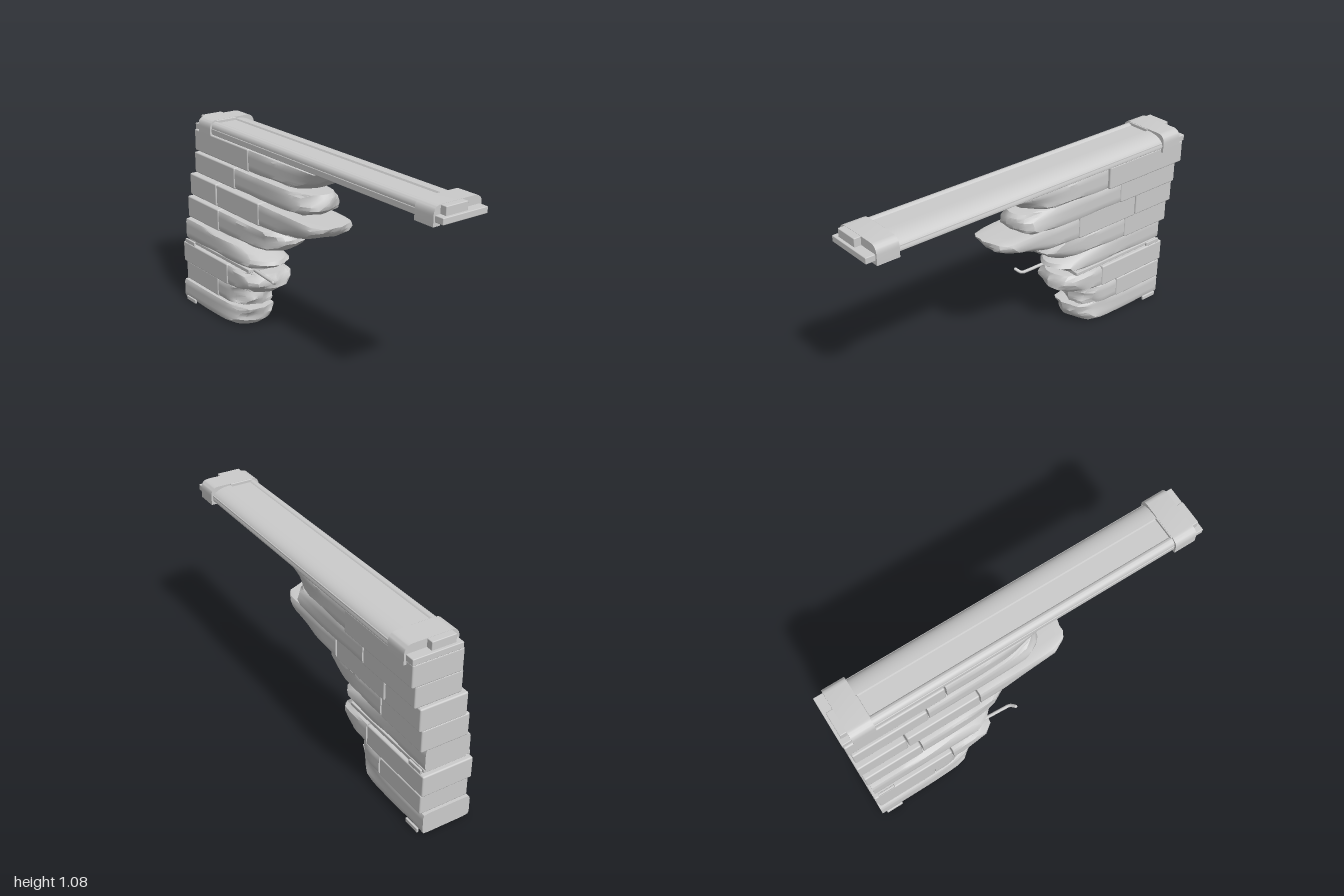
import * as THREE from 'three';
import { toCreasedNormals } from 'three/addons/utils/BufferGeometryUtils.js';
import { RoundedBoxGeometry } from 'three/addons/geometries/RoundedBoxGeometry.js';

const material = new THREE.MeshStandardMaterial({ color: 0xcccccc });

function add(parent, name, geometry) {
  const mesh = new THREE.Mesh(geometry, material);
  mesh.name = name;
  parent.add(mesh);
  return mesh;
}

// Box given by its limits, with slightly softened edges
function block(parent, name, x0, x1, y0, y1, z0, z1, radius = 0.008) {
  const g = new RoundedBoxGeometry(x1 - x0, y1 - y0, z1 - z0, 2, radius);
  g.translate((x0 + x1) / 2, (y0 + y1) / 2, (z0 + z1) / 2);
  return add(parent, name, g);
}

// Piecewise linear lookup, t from 0 to 1
function sample(list, t) {
  const f = Math.min(Math.max(t, 0), 1) * (list.length - 1);
  const i = Math.min(Math.floor(f), list.length - 2);
  return list[i] + (list[i + 1] - list[i]) * (f - i);
}

// Stone with a broken +x end; ends lists the end's x from bottom to top
function brokenStone(parent, x0, ends, y0, y1, z0, z1, seed) {
  const g = new THREE.BoxGeometry(1, 1, 1, 18, 6, 8);
  const p = g.attributes.position;
  const cy = (y0 + y1) / 2, cz = (z0 + z1) / 2;
  for (let i = 0; i < p.count; i++) {
    const u = p.getX(i) + 0.5, v = p.getY(i) * 2, w = p.getZ(i) * 2;
    // fractured end: rounded towards the faces, with facet-like ridges
    const ridge = Math.abs(Math.sin(w * 2.1 + v * 1.3 + seed)) * 0.035
      + Math.abs(Math.sin(w * 1.2 - v * 2.4 + seed * 2)) * 0.02;
    const end = sample(ends, (v + 1) / 2) - ridge * Math.abs(w) - 0.05 * Math.pow(Math.abs(w), 5);
    const x = x0 + u * (end - x0);
    // wear grows towards the break
    const wear = Math.pow(u, 5);
    const chip = Math.max(0, Math.sin(x * 13 + seed * 1.7)) * 0.1 * u;
    let sy = 1 - wear * 0.07 * Math.abs(w);
    let sz = 1 - wear * (0.12 + 0.1 * Math.sin(v * 2 + seed));
    // softened long edges with chipped stretches
    if (Math.abs(v) > 0.99 && Math.abs(w) > 0.99) { sy -= 0.07 + chip; sz -= 0.04 + chip * 0.6; }
    p.setXYZ(i, x, cy + v * (y1 - y0) / 2 * sy, cz + w * (z1 - z0) / 2 * sz);
  }
  g.computeVertexNormals();
  return add(parent, 'brokenStone', toCreasedNormals(g, 0.55));
}

// Extrusion along x of a profile drawn in the (-z, y) plane
function extrudeX(parent, name, shape, x0, x1) {
  const g = new THREE.ExtrudeGeometry(shape, { depth: x1 - x0, bevelEnabled: false, curveSegments: 10 });
  g.rotateY(Math.PI / 2);
  g.translate(x0, 0, 0);
  return add(parent, name, toCreasedNormals(g, 0.6));
}

export function createModel() {
  const model = new THREE.Group();
  model.name = 'ruinedWall';

  // Courses: height range, depth range, whole-stone joints, broken end
  const courses = [
    { y: [0.005, 0.122], z: [-0.075, 0.197], x: [-0.995], ends: [-0.45, -0.395, -0.385, -0.375] },
    { y: [0.125, 0.235], z: [-0.09, 0.185], x: [-0.985, -0.645], ends: [-0.42, -0.41, -0.41, -0.42] },
    { y: [0.235, 0.355], z: [-0.09, 0.195], x: [-0.995, -0.53], ends: [-0.32, -0.265, -0.26, -0.28] },
    { y: [0.372, 0.495], z: [-0.072, 0.18], x: [-0.98], ends: [-0.34, -0.235, -0.25, -0.34, -0.52] },
    { y: [0.498, 0.622], z: [-0.107, 0.157], x: [-0.99, -0.665], ends: [-0.22, -0.16, -0.13, -0.135, -0.17] },
    { y: [0.625, 0.75], z: [-0.128, 0.132], x: [-0.997, -0.72, -0.31], ends: [0, 0.08, 0.17, 0.21, 0.22] },
    { y: [0.754, 0.873], z: [-0.153, 0.103], x: [-0.985, -0.575], ends: [0.02, 0.08, 0.09, 0.09, 0.07] },
    { y: [0.878, 1.0], z: [-0.172, 0.09], x: [-0.997, -0.46], ends: [-0.03, 0.05, 0.1, 0.15, 0.185] },
  ];
  const wall = new THREE.Group();
  wall.name = 'stoneCourses';
  model.add(wall);
  courses.forEach(({ y, z, x, ends }, n) => {
    for (let i = 0; i < x.length - 1; i++) {
      block(wall, 'wholeStone', x[i], x[i + 1] - 0.006, y[0], y[1], z[0] - (n === 7 ? 0.01 : 0), z[1]);
    }
    brokenStone(wall, x[x.length - 1], ends, y[0], y[1], z[0], z[1], n * 1.9 + 0.6);
  });

  // Thin bed between courses and the bent rod sticking out of it
  block(model, 'mortarBed', -0.97, -0.36, 0.353, 0.374, -0.07, 0.17, 0.004);
  const rod = new THREE.CatmullRomCurve3([
    [-0.45, 0.362, 0.12], [-0.3, 0.363, 0.135], [-0.2, 0.36, 0.14], [-0.155, 0.362, 0.145], [-0.135, 0.378, 0.17],
  ].map((q) => new THREE.Vector3(...q)));
  add(model, 'bentRod', new THREE.TubeGeometry(rod, 20, 0.009, 8));
  const tip = add(model, 'rodTip', new THREE.SphereGeometry(0.009, 8, 6));
  tip.position.set(-0.135, 0.378, 0.17);

  // Small staples on both faces
  for (const [y, back, front] of [[0.0, -0.083, 0.198], [0.355, -0.083, 0.19]]) {
    for (const z of [back, front]) {
      block(model, 'staple', -0.97, -0.875, y, y + 0.024, z - 0.006, z + 0.006, 0.004);
    }
  }

  // Coping: flat slab, domed cover and raised end plates
  const coping = new THREE.Group();
  coping.name = 'coping';
  model.add(coping);
  block(coping, 'copingSlab', -1, 1, 1.0, 1.033, -0.187, 0.08, 0.004);

  const cover = new THREE.Shape();
  cover.moveTo(-0.075, 1.012);
  cover.lineTo(0.19, 1.012);
  cover.bezierCurveTo(0.188, 1.045, 0.15, 1.068, 0.08, 1.068);
  cover.lineTo(0.075, 1.06);
  cover.lineTo(-0.035, 1.06);
  cover.bezierCurveTo(-0.045, 1.076, -0.075, 1.07, -0.078, 1.04);
  cover.closePath();
  extrudeX(coping, 'copingCover', cover, -0.86, 0.86);

  // Clamp wrapping over the coping, with lips hooked underneath
  const clamp = new THREE.Shape();
  clamp.moveTo(-0.09, 0.98);
  clamp.lineTo(-0.05, 0.98);
  clamp.lineTo(-0.05, 1.002);
  clamp.lineTo(0.155, 1.002);
  clamp.lineTo(0.155, 0.98);
  clamp.lineTo(0.197, 0.98);
  clamp.lineTo(0.197, 1.03);
  clamp.quadraticCurveTo(0.197, 1.077, 0.15, 1.077);
  clamp.lineTo(-0.045, 1.077);
  clamp.quadraticCurveTo(-0.09, 1.077, -0.09, 1.03);
  clamp.closePath();
  for (const side of [-1, 1]) {
    extrudeX(coping, 'clamp', clamp, side * 0.89 - 0.06, side * 0.89 + 0.06);
    block(coping, 'endPlate', side * 0.905 - 0.08, side * 0.905 + 0.08, 1.02, 1.076, -0.08, 0.05, 0.004);
  }
  return model;
}
